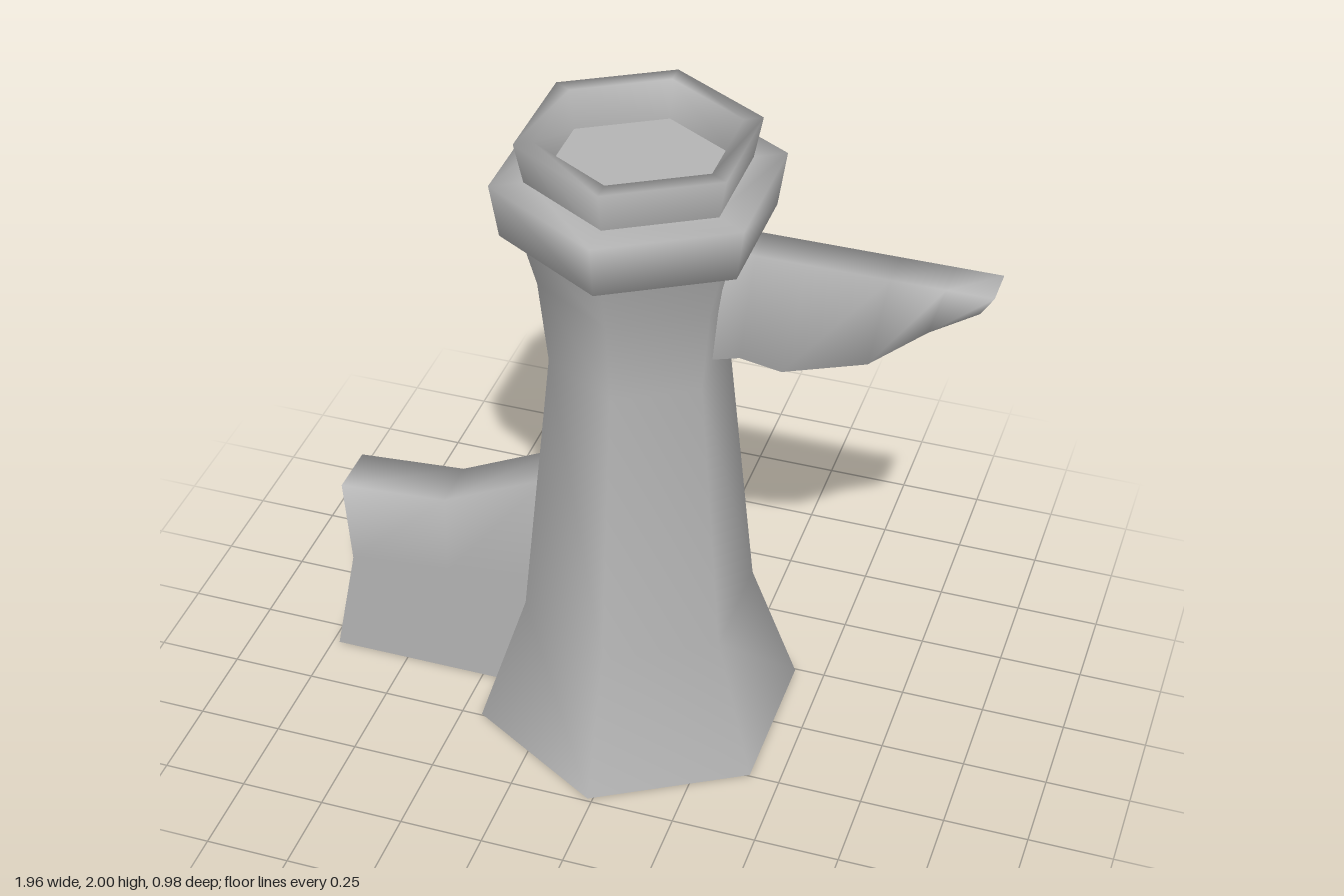
import * as THREE from 'three';

const CENTER_X = -0.015;

// Hexagonal body of revolution from a [radius, height] profile, smooth-shaded
function hexLathe(name, profile, material) {
  const points = profile.map(([r, y]) => new THREE.Vector2(r, y));
  const mesh = new THREE.Mesh(new THREE.LatheGeometry(points, 6), material);
  mesh.name = name;
  mesh.position.x = CENTER_X;
  return mesh;
}

// Slab lofted along x: each column lists [x, y] points from bottom to top,
// mirrored onto a front and a back wall that are joined over the top
function slab(name, columns, zFront, zBack, closed, material) {
  const positions = [];
  const index = [];
  const n = columns[0].length * 2;
  for (const column of columns) {
    for (const [x, y] of column) positions.push(x, y, zFront);
    for (const [x, y] of [...column].reverse()) positions.push(x, y, zBack);
  }
  for (let c = 0; c < columns.length - 1; c++) {
    for (let i = 0; i < (closed ? n : n - 1); i++) {
      const j = (i + 1) % n;
      const a = c * n + i, b = (c + 1) * n + i;
      const d = (c + 1) * n + j, e = c * n + j;
      index.push(a, b, d, a, d, e);
    }
  }
  // Cap the outer tip of a closed slab
  if (closed) {
    const o = (columns.length - 1) * n;
    index.push(o, o + 3, o + 2, o, o + 2, o + 1);
  }
  const geometry = new THREE.BufferGeometry();
  geometry.setAttribute('position', new THREE.Float32BufferAttribute(positions, 3));
  geometry.setIndex(index);
  geometry.computeVertexNormals();
  const mesh = new THREE.Mesh(geometry, material);
  mesh.name = name;
  return mesh;
}

export function createModel() {
  const stone = new THREE.MeshStandardMaterial({ color: 0xb4b4b4, side: THREE.DoubleSide });
  stone.name = 'stone grey';

  const model = new THREE.Group();
  model.name = 'tower';

  // Flared hollow shaft, open at the bottom
  model.add(hexLathe('shaft', [
    [0.49, 0], [0.345, 0.42], [0.258, 1.29], [0.285, 1.55], [0.33, 1.72],
  ], stone));

  // Wide collar and the smaller crown on top of it
  model.add(hexLathe('collar', [
    [0.3, 1.72], [0.385, 1.72], [0.41, 1.88], [0.3, 1.88],
  ], stone));
  model.add(hexLathe('crown', [
    [0.315, 1.88], [0.34, 2], [0.285, 2], [0.268, 1.885],
  ], stone));
  model.add(hexLathe('crownFloor', [[0.3, 1.885], [0, 1.885]], stone));

  // Low wall on one side, open at its end and underneath
  model.add(slab('sideWall', [
    [[-0.98, 0], [-0.91, 0.36], [-0.93, 0.635]],
    [[-0.68, 0], [-0.6, 0.39], [-0.6, 0.66]],
    [[-0.44, 0], [-0.31, 0.42], [-0.27, 0.82]],
  ], 0.075, -0.085, false, stone));

  // Pointed bracket under the collar on the other side
  model.add(slab('bracket', [
    [[0.205, 1.335], [0.255, 1.705]],
    [[0.29, 1.36], [0.33, 1.705]],
    [[0.41, 1.34], [0.47, 1.705]],
    [[0.65, 1.42], [0.7, 1.705]],
    [[0.81, 1.56], [0.85, 1.705]],
    [[0.945, 1.65], [0.98, 1.705]],
  ], 0.048, -0.067, true, stone));

  return model;
}
